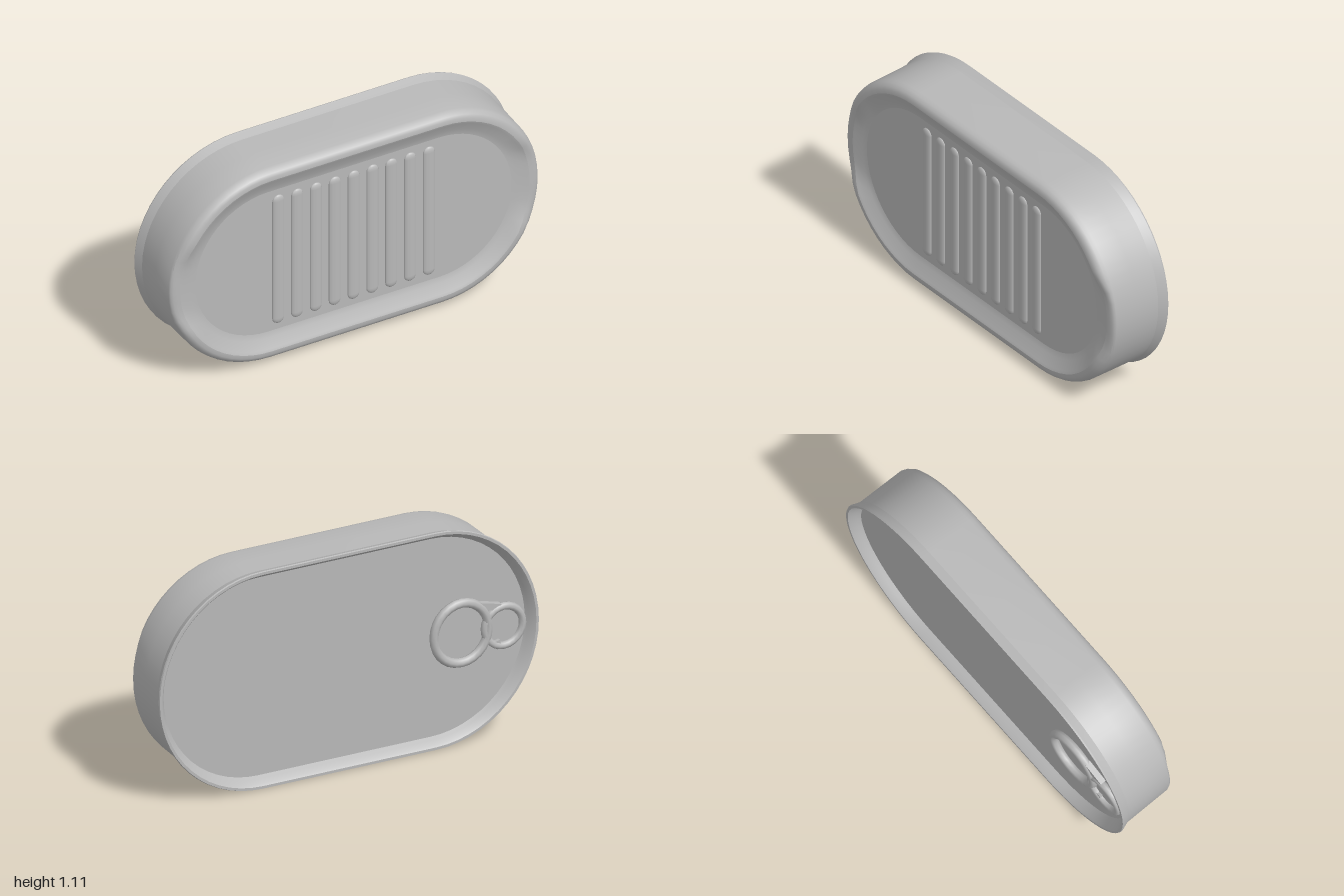
import * as THREE from 'three';
import { toCreasedNormals } from 'three/addons/utils/BufferGeometryUtils.js';

const CY = 0.555; // height of the tin's centre
const R = 0.555; // half height of the rounded ends
const HALF = 0.455; // half length of the straight sides
const ARC = 28; // segments per rounded end
const LID_Z = -0.118;
const PANEL_Z = 0.13;

// Closed pill outline, counter-clockwise seen from +z, shrunk by inset
function outline(inset) {
  const pts = [];
  for (const side of [1, -1]) {
    for (let i = 0; i <= ARC; i++) {
      const a = -Math.PI / 2 + (Math.PI * i) / ARC;
      const reach = 1 - HALF - inset;
      pts.push(new THREE.Vector2(side * (HALF + reach * Math.cos(a)), side * (R - inset) * Math.sin(a)));
    }
  }
  return pts;
}

// Skin through pill outlines; profile is a list of [inset, z], back to front
function loft(profile) {
  const pos = [];
  const index = [];
  const n = 2 * (ARC + 1);
  for (const [inset, z] of profile) {
    for (const { x, y } of outline(inset)) {
      // the front bead sinks towards the middle of the rounded ends
      const middle = 1 - THREE.MathUtils.smoothstep(Math.abs(y), 0.12, 0.27);
      const dip = 0.65 * Math.max(0, z - PANEL_Z) * middle;
      pos.push(x, y + CY, z - dip);
    }
  }
  for (let i = 0; i < profile.length - 1; i++) {
    for (let j = 0; j < n; j++) {
      const k = (j + 1) % n;
      const a = i * n + j, b = i * n + k, c = b + n, d = a + n;
      index.push(a, b, c, a, c, d);
    }
  }
  const g = new THREE.BufferGeometry();
  g.setAttribute('position', new THREE.Float32BufferAttribute(pos, 3));
  g.setIndex(index);
  return toCreasedNormals(g, 0.7);
}

// Flat pill-shaped sheet facing +z
const sheet = (inset) => new THREE.ShapeGeometry(new THREE.Shape(outline(inset)));

export function createModel() {
  const metal = new THREE.MeshStandardMaterial({ color: 0xb8b8b8 });
  metal.name = 'tin grey';
  const model = new THREE.Group();
  model.name = 'tin';

  const add = (name, geometry, x = 0, y = 0, z = 0, parent = model) => {
    const mesh = new THREE.Mesh(geometry, metal);
    mesh.name = name;
    mesh.position.set(x, y, z);
    parent.add(mesh);
    return mesh;
  };

  // Sunken lid on the back
  add('lid', sheet(0.05), 0, CY, LID_Z).rotation.y = Math.PI;

  // Seam rim around the lid, slightly flared
  add('rim', loft([
    [0.05, LID_Z], [0.04, -0.135], [0.025, -0.16], [0.016, -0.17],
    [0.003, -0.17], [0, -0.163], [0.006, -0.148], [0.016, -0.12],
  ]));

  // Side wall and rounded front shoulder
  add('wall', loft([
    [0.016, -0.12], [0.018, 0], [0.02, 0.125], [0.025, 0.144],
    [0.037, 0.16], [0.053, 0.168], [0.072, 0.169],
  ]));

  // Bead sloping in to the pressed front panel
  add('bead', loft([[0.072, 0.169], [0.085, 0.164], [0.13, 0.137], [0.16, PANEL_Z]]));
  add('panel', sheet(0.16), 0, CY, PANEL_Z);

  // Shallow upright ribs pressed into the panel
  const ribs = new THREE.Group();
  ribs.name = 'ribs';
  model.add(ribs);
  for (let i = -4; i <= 4; i++) {
    const rib = add('rib', new THREE.CapsuleGeometry(0.032, 0.66, 4, 12), i * 0.1, CY, PANEL_Z, ribs);
    rib.scale.z = 0.38;
  }

  // Pull ring with its riveted tab, on the lid
  const pull = new THREE.Group();
  pull.name = 'pullRing';
  model.add(pull);
  const loop = add('ring', new THREE.TorusGeometry(0.143, 0.022, 8, 28), -0.605, CY, -0.137, pull);
  loop.scale.y = 1.06;
  add('tabRing', new THREE.TorusGeometry(0.1, 0.019, 8, 24), -0.828, CY - 0.01, -0.137, pull);
  const disc = add('tabPlate', new THREE.CylinderGeometry(0.1, 0.1, 0.016, 24), -0.828, CY - 0.01, -0.124, pull);
  disc.rotation.x = Math.PI / 2;
  for (const s of [1, -1]) {
    const lug = add('tabLug', new THREE.BoxGeometry(0.12, 0.035, 0.03), -0.75, CY + s * 0.105, -0.133, pull);
    lug.rotation.z = s * 0.25;
  }

  return model;
}
